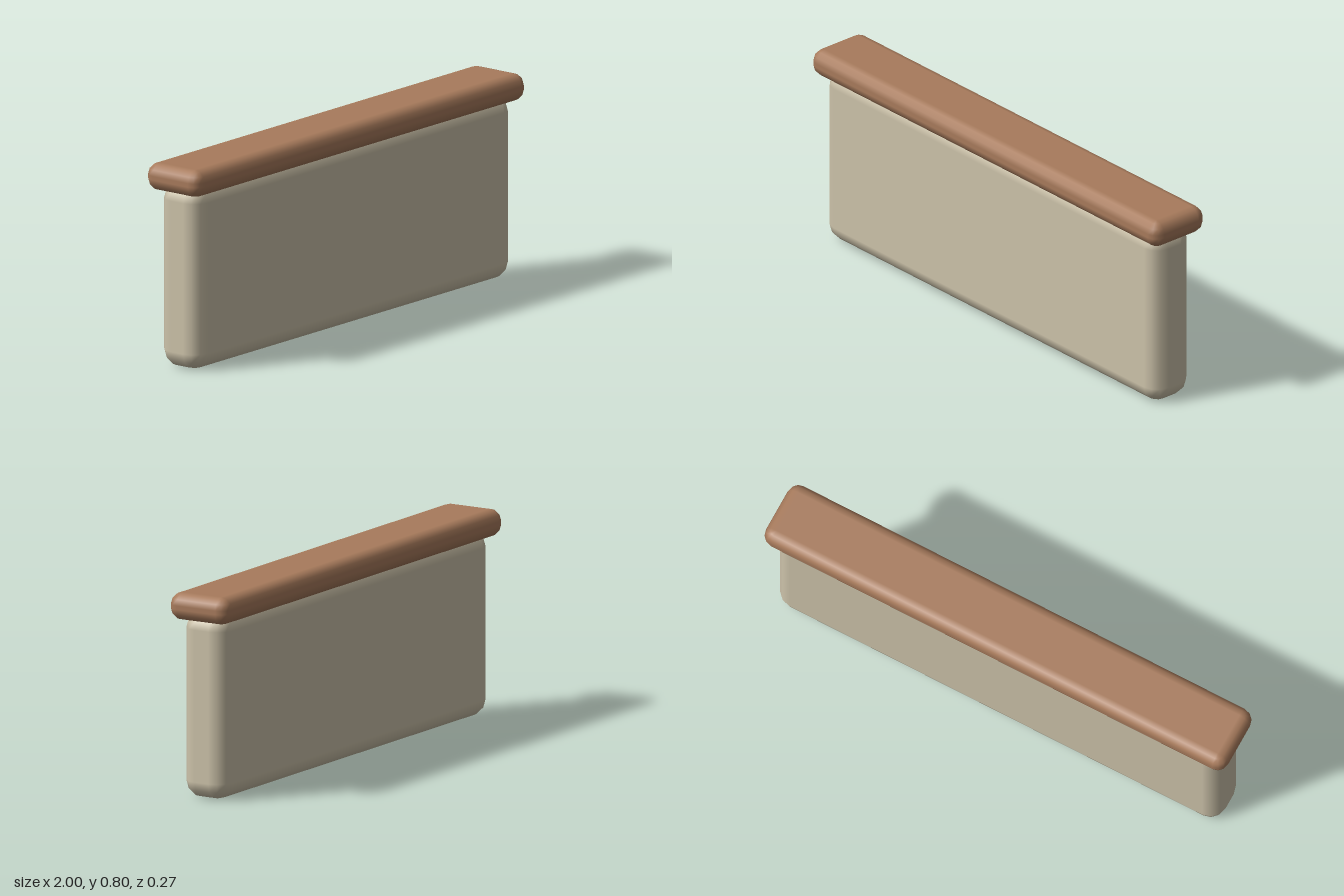
import * as THREE from 'three';

// Box with a three-step rounded bevel on every edge, built by wrapping a grid around it
function bevelledBox(w, h, d, r) {
  const geo = new THREE.PlaneGeometry(1, 1, 16, 9);
  const { position, normal } = geo.attributes;
  const step = Math.PI / 6;
  for (let row = 0; row <= 9; row++) {
    const top = row < 5;
    const ring = top ? row : 9 - row; // 0 is the cap centre, 1..4 go from cap to side
    const lat = (4 - Math.max(ring, 1)) * step;
    for (let col = 0; col <= 16; col++) {
      const corner = Math.floor(col / 4) % 4;
      const a = corner * Math.PI / 2 + (col % 4) * step;
      const n = new THREE.Vector3(
        Math.sin(a) * Math.cos(lat), Math.sin(lat) * (top ? 1 : -1), Math.cos(a) * Math.cos(lat));
      const sx = corner < 2 ? 1 : -1;
      const sz = corner === 0 || corner === 3 ? 1 : -1;
      const open = ring === 0 ? 0 : 1;
      const i = row * 17 + col;
      position.setXYZ(i,
        open * (sx * (w / 2 - r) + n.x * r),
        (top ? 1 : -1) * (h / 2 - r) + n.y * r,
        open * (sz * (d / 2 - r) + n.z * r));
      normal.setXYZ(i, n.x, n.y, n.z);
    }
  }
  return geo;
}

function addBlock(group, name, color, size, bottom) {
  const [w, h, d, r] = size;
  const mesh = new THREE.Mesh(bevelledBox(w, h, d, r), new THREE.MeshStandardMaterial({ color }));
  mesh.name = name;
  mesh.position.y = bottom + h / 2;
  group.add(mesh);
}

export function createModel() {
  const group = new THREE.Group();
  group.name = 'lowWall';
  // Plastered wall body, its top edge tucked into the coping
  addBlock(group, 'wallBody', 0xcdc3aa, [1.92, 0.727, 0.196, 0.067], 0);
  // Overhanging coping
  addBlock(group, 'coping', 0xa87b5c, [2, 0.107, 0.266, 0.046], 0.695);
  return group;
}
